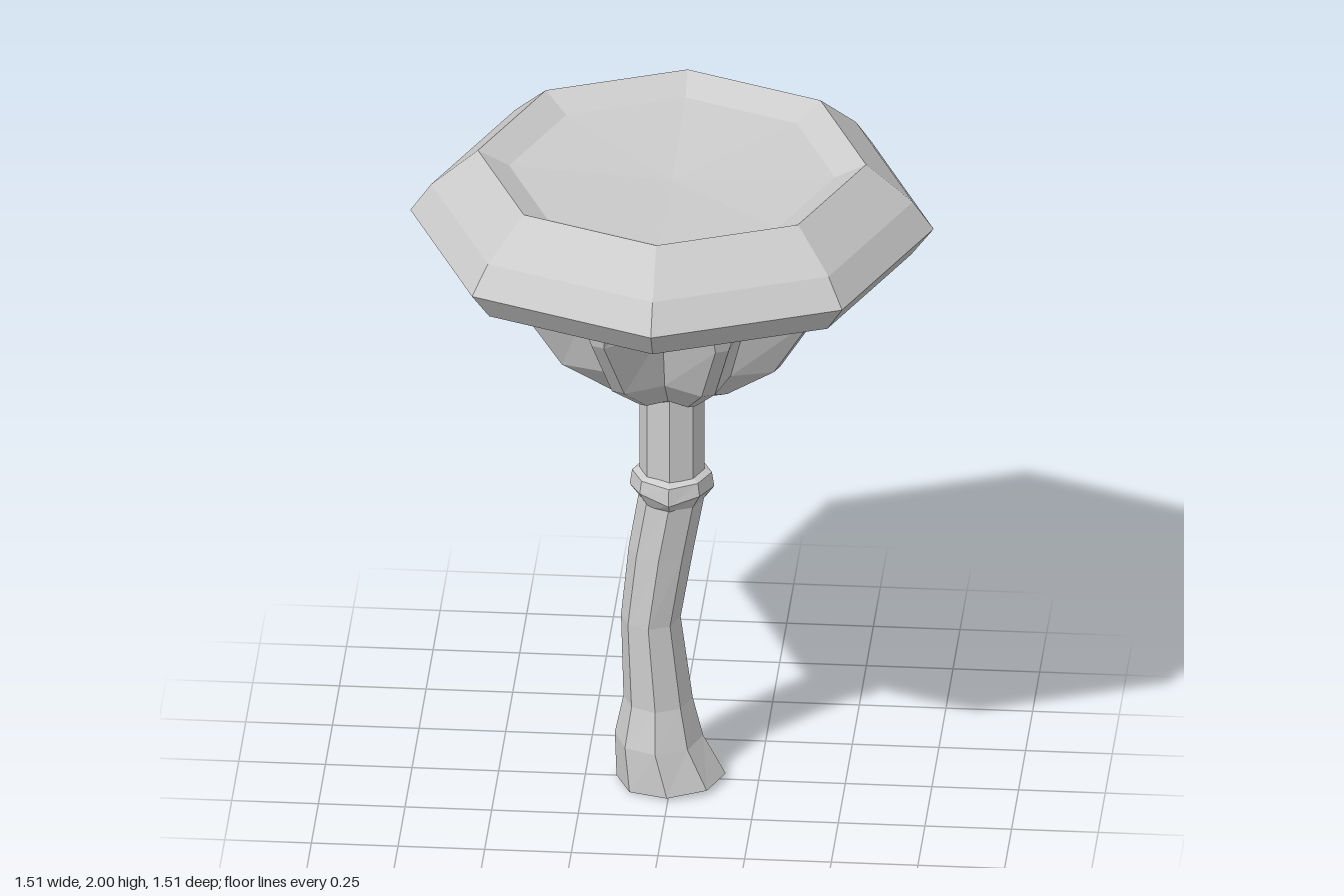
import * as THREE from 'three';

const material = new THREE.MeshStandardMaterial({ color: 0xcccccc, flatShading: true });

// Skin a list of equal-length rings (bottom to top) with outward faces
function loft(name, rings) {
  const n = rings[0].length;
  const index = [];
  for (let r = 0; r < rings.length - 1; r++) {
    for (let i = 0; i < n; i++) {
      const a = r * n + i, b = r * n + (i + 1) % n;
      index.push(a, a + n, b, b, a + n, b + n);
    }
  }
  const geometry = new THREE.BufferGeometry();
  geometry.setAttribute('position', new THREE.Float32BufferAttribute(rings.flat(2), 3));
  geometry.setIndex(index);
  const flat = geometry.toNonIndexed();
  flat.computeVertexNormals();
  const mesh = new THREE.Mesh(flat, material);
  mesh.name = name;
  return mesh;
}

// Octagonal ring with corners on the axes
function octagon(y, rx, rz = rx, cx = 0, cz = 0) {
  return Array.from({ length: 8 }, (_, i) => {
    const a = i * Math.PI / 4;
    return [cx + rx * Math.cos(a), y, cz + rz * Math.sin(a)];
  });
}

// Gill ring: eight V-shaped scoops separated by narrow flat ribs
function gillRing([y, ribRadius, valleyRadius, ribHalfWidth]) {
  const ring = [];
  for (let i = 0; i < 8; i++) {
    const valley = i * Math.PI / 4, rib = valley + Math.PI / 8;
    ring.push([valleyRadius * Math.cos(valley), y, valleyRadius * Math.sin(valley)]);
    for (const side of [-1, 1]) {
      const a = rib + side * Math.atan(ribHalfWidth / ribRadius);
      ring.push([ribRadius * Math.cos(a), y, ribRadius * Math.sin(a)]);
    }
  }
  return ring;
}

export function createModel() {
  const group = new THREE.Group();

  // Cap with bevelled rim and a shallow dished top: [radius, y]
  const capProfile = [
    [0, 1.715], [0.69, 1.715], [0.755, 1.8], [0.695, 1.885],
    [0.56, 2], [0.47, 1.955], [0, 1.925],
  ];
  group.add(loft('cap', capProfile.map(([r, y]) => octagon(y, r))));

  // Gills under the cap: [y, rib radius, valley radius, rib half width]
  const gillProfile = [
    [1.255, 0.02, 0.02, 0.002], [1.255, 0.1, 0.085, 0.008], [1.285, 0.185, 0.14, 0.012],
    [1.395, 0.34, 0.26, 0.02], [1.6, 0.47, 0.33, 0.02], [1.72, 0.5, 0.345, 0.045],
  ];
  group.add(loft('gills', gillProfile.map(gillRing)));

  // Curved lower stem flaring at the foot: [y, left edge, right edge, z radius]
  const stemProfile = [
    [0.01, 0, 0, 0], [0.01, -0.16, 0.155, 0.155], [0.14, -0.165, 0.09, 0.14],
    [0.26, -0.14, 0.06, 0.107], [0.52, -0.147, 0.025, 0.094],
    [0.74, -0.125, 0.062, 0.092], [0.92, -0.095, 0.095, 0.092],
  ];
  const stem = loft('lowerStem', stemProfile.map(([y, x0, x1, rz]) =>
    octagon(y, (x1 - x0) / 2, rz, (x0 + x1) / 2)));
  // Slanted foot: one side touches the ground, the other rises slightly
  const p = stem.geometry.attributes.position;
  for (let i = 0; i < p.count; i++) {
    if (p.getY(i) < 0.05) p.setY(i, 0.01 + p.getX(i) * 0.06);
  }
  stem.geometry.computeVertexNormals();
  group.add(stem);

  // Uneven collar around the stem
  const collarProfile = [[0.895, 0.085, 0], [0.945, 0.122, 0.012], [0.99, 0.115, 0.004], [1.005, 0.08, 0]];
  group.add(loft('collar', collarProfile.map(([y, r, wobble]) =>
    octagon(y, r).map(([x, h, z], i) => [x, h + wobble * Math.sin(i * 2.4), z]))));

  // Straight upper stem
  group.add(loft('upperStem', [0.98, 1.27].map((y) => octagon(y, 0.094))));

  return group;
}
